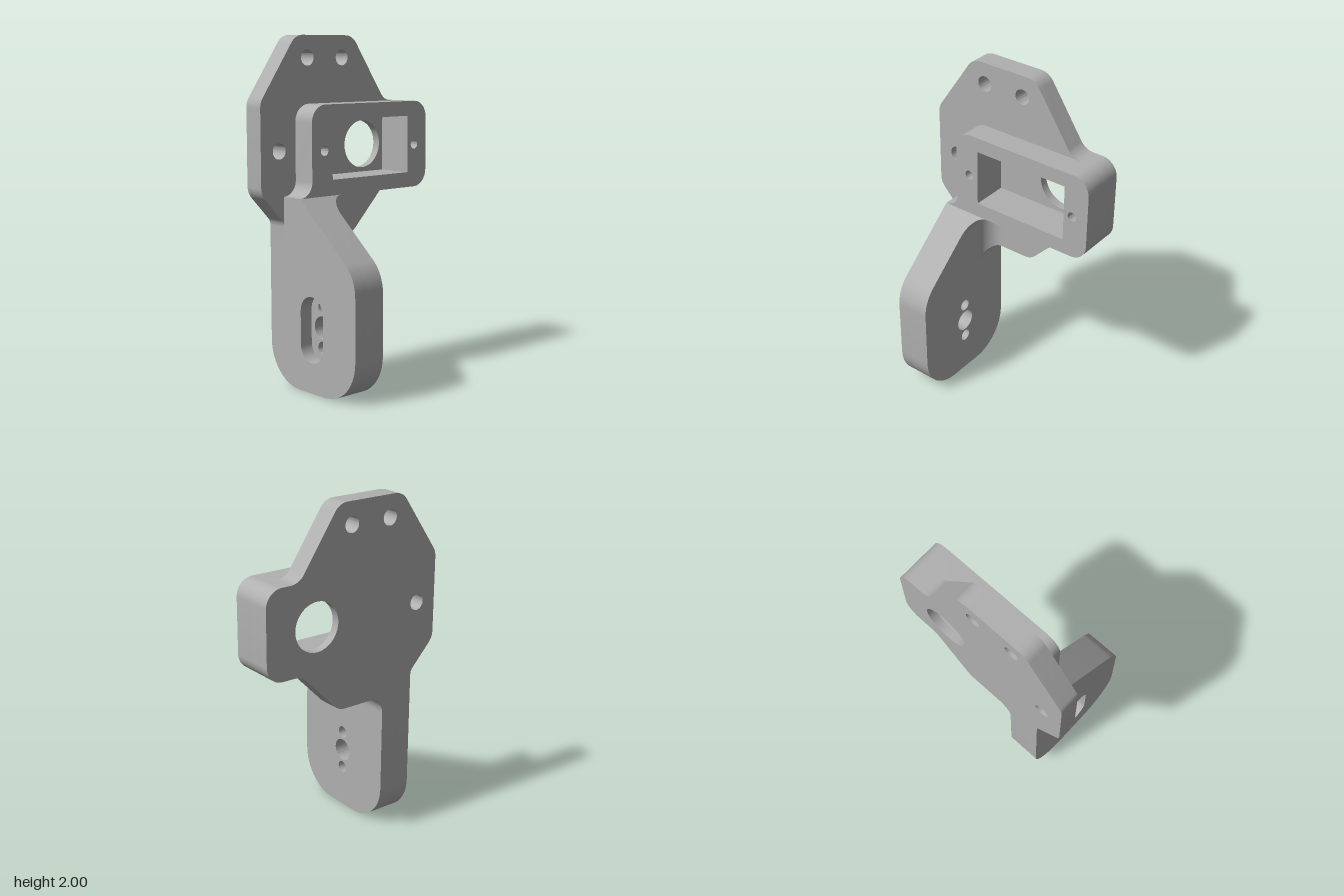
import * as THREE from 'three';
import { toCreasedNormals } from 'three/addons/utils/BufferGeometryUtils.js';

const BACK = -0.36, FLOOR = -0.31, PLATE = -0.235, FRONT = -0.09; // z levels
const ARM_IN = -0.215, ARM_OUT = -0.42, SHELF = 1.095, R = 0.1;

// Polygon from [x, y, radius] corners, each rounded with a tangent arc
function rounded(corners, Type = THREE.Shape) {
  const pts = [];
  corners.forEach(([x, y, r = 0], i) => {
    const p = new THREE.Vector2(x, y);
    if (!r) return pts.push(p);
    const n = corners.length;
    const toward = (c) => new THREE.Vector2(c[0], c[1]).sub(p).normalize();
    const a = toward(corners[(i + n - 1) % n]), b = toward(corners[(i + 1) % n]);
    const half = Math.acos(a.dot(b)) / 2;
    const mid = a.clone().add(b).normalize().multiplyScalar(r / Math.sin(half)).add(p);
    const start = a.clone().multiplyScalar(r / Math.tan(half)).add(p).sub(mid);
    const end = b.clone().multiplyScalar(r / Math.tan(half)).add(p).sub(mid);
    const sweep = Math.atan2(start.cross(end), start.dot(end));
    for (let k = 0; k <= 12; k++) {
      pts.push(start.clone().rotateAround(new THREE.Vector2(), sweep * k / 12).add(mid));
    }
  });
  return new Type(pts);
}

function circle(x, y, r) {
  const path = new THREE.Path();
  path.absarc(x, y, r, 0, Math.PI * 2, true);
  return path;
}

function extrude(shape, holes, depth) {
  shape.holes.push(...holes);
  return new THREE.ExtrudeGeometry(shape, { depth, bevelEnabled: false, curveSegments: 40 });
}

// Concave fillet block: rule(t, h, v, w) places each vertex, where h is the
// fillet height at distance t from the wall and v, w are 0 or 1
function filletBlock(rule) {
  const geo = new THREE.BoxGeometry(1, 1, 1, 14, 1, 1);
  const pos = geo.attributes.position;
  for (let i = 0; i < pos.count; i++) {
    const a = (pos.getX(i) + 0.5) * Math.PI / 2;
    const t = R - R * Math.cos(a), h = R - R * Math.sin(a);
    pos.setXYZ(i, ...rule(t, h, pos.getY(i) + 0.5, pos.getZ(i) + 0.5));
  }
  return geo;
}

export function createModel() {
  const model = new THREE.Group();
  model.name = 'servoBracket';
  const grey = new THREE.MeshStandardMaterial({ color: 0xb0b0b0 });
  grey.name = 'plain grey';

  function add(name, geo) {
    const mesh = new THREE.Mesh(toCreasedNormals(geo, 0.5), grey);
    mesh.name = name;
    model.add(mesh);
  }

  // Mounting plate
  const plateOutline = () => rounded([
    [-0.325, 2, R], [-0.58, 1.628, R], [-0.58, 1.118, R], [ARM_OUT, 0.945, 0.06],
    [ARM_OUT, 0.735], [ARM_IN, 0.735], [ARM_IN, 0.835, 0.0999], [0.1, 0.835, R],
    [0.352, SHELF, R], [0.575, SHELF, R], [0.575, 1.613, R], [0.365, 1.613, R], [0.105, 2, R],
  ]);
  const mountHoles = () => [[-0.24, 1.873], [0.02, 1.873], [-0.45, 1.353]]
    .map(([x, y]) => circle(x, y, 0.046));
  // Rectangular pocket and its two blind screw holes
  const pocket = () => [
    rounded([[-0.18, 1.185], [0.42, 1.185], [0.42, 1.525], [-0.18, 1.525]], THREE.Path),
    circle(-0.24, 1.353, 0.028), circle(0.475, 1.353, 0.028),
  ];
  add('plateBack', extrude(plateOutline(), [...mountHoles(), circle(0.25, 1.353, 0.142)], FLOOR - BACK)
    .translate(0, 0, BACK));
  add('plateFront', extrude(plateOutline(), [...mountHoles(), ...pocket()], PLATE - FLOOR)
    .translate(0, 0, FLOOR));

  // Raised housing around the pocket, flared onto the arm at its lower left
  const housing = rounded([
    [-0.332, 1.613, R], [-0.332, SHELF, 0.0875], [ARM_OUT, SHELF],
    [0.575, SHELF, R], [0.575, 1.613, R],
  ]);
  add('pocketHousing', extrude(housing, pocket(), FRONT - PLATE).translate(0, 0, PLATE));

  // Hanging arm, drawn in z and y, then turned to run along x
  const armOutline = () => rounded([
    [BACK, 0, 0.25], [0.36, 0, 0.25], [0.36, 0.71, 0.23], [FRONT, SHELF],
    [PLATE, SHELF], [PLATE, 0.735], [BACK, 0.735],
  ]);
  const slotDepth = 0.08, armWidth = ARM_IN - ARM_OUT;
  const hornHoles = [circle(0, 0.365, 0.067), circle(0, 0.25, 0.036), circle(0, 0.482, 0.036)];
  const slot = rounded([[-0.095, 0.175, 0.0949], [0.095, 0.175, 0.0949],
    [0.095, 0.555, 0.0949], [-0.095, 0.555, 0.0949]], THREE.Path);
  add('armInner', extrude(armOutline(), hornHoles, armWidth - slotDepth)
    .rotateY(-Math.PI / 2).translate(ARM_IN, 0, 0));
  add('armOuter', extrude(armOutline(), [slot], slotDepth)
    .rotateY(-Math.PI / 2).translate(ARM_OUT + slotDepth, 0, 0));

  // Fillet under the housing, its front following the arm's slope
  const slope = (0.36 - FRONT) / (SHELF - 0.71);
  add('housingFillet', filletBlock((t, h, v, w) => {
    const y = v ? SHELF : SHELF - h;
    return [ARM_IN + t, y, w ? FRONT + (SHELF - y) * slope : PLATE];
  }));

  // Fillet between arm and plate, its foot following the plate's lower edge
  add('plateFillet', filletBlock((t, h, v, w) =>
    [ARM_IN + t, v ? SHELF : 0.835 - h, w ? PLATE + h : PLATE]));

  return model;
}
